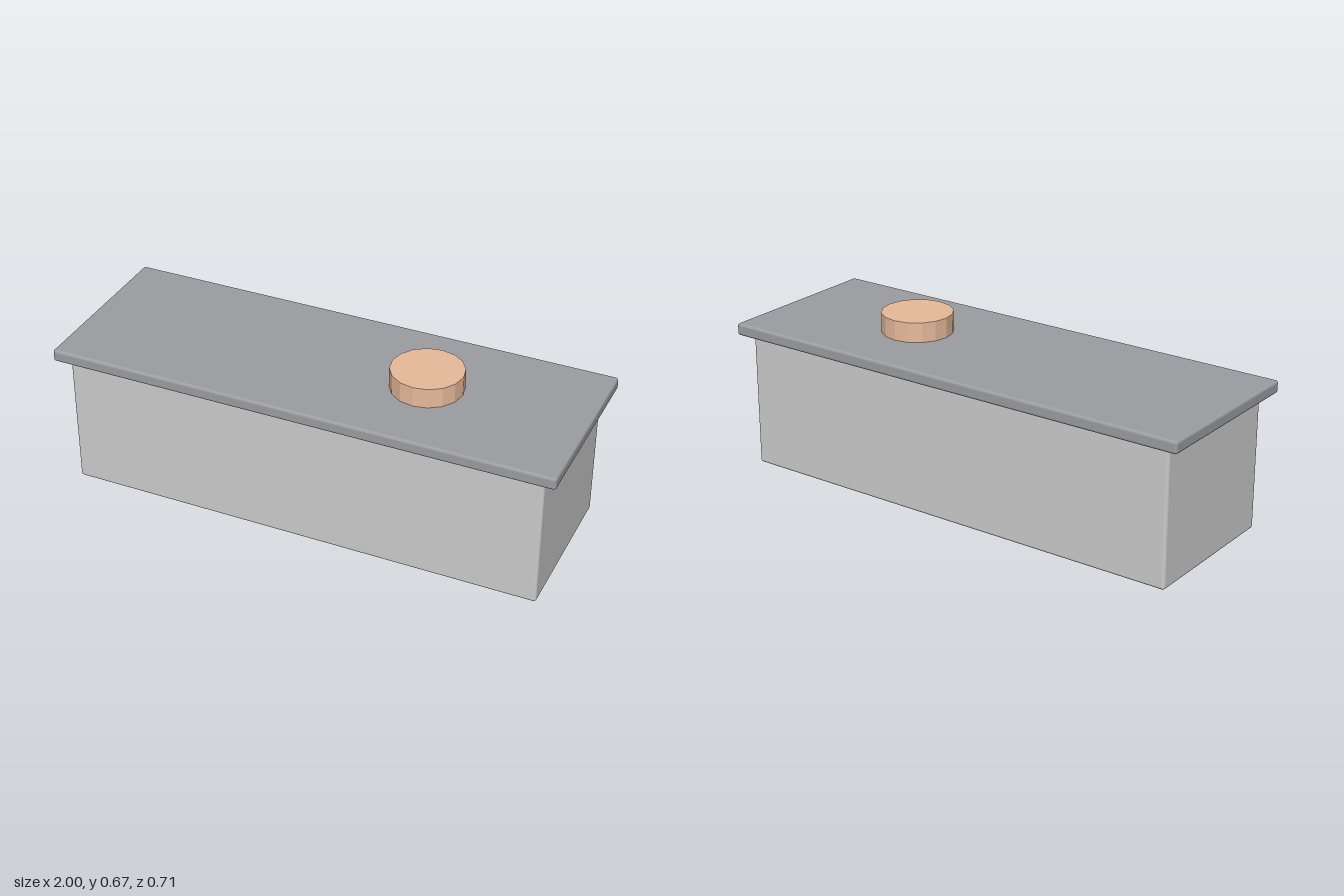
import * as THREE from 'three';
import { RoundedBoxGeometry } from 'three/addons/geometries/RoundedBoxGeometry.js';

function addPart(group, name, geometry, color, x, y, flatShading = false) {
  const mesh = new THREE.Mesh(geometry, new THREE.MeshStandardMaterial({ color, flatShading }));
  mesh.name = name;
  mesh.position.set(x, y, 0);
  group.add(mesh);
}

export function createModel() {
  const group = new THREE.Group();
  group.name = 'lidded box';

  // Long box with softly rounded edges
  addPart(group, 'body', new RoundedBoxGeometry(1.896, 0.54, 0.632, 3, 0.012), 0xcccccc, 0, 0.27);

  // Overhanging slab lid
  addPart(group, 'lid', new RoundedBoxGeometry(2, 0.049, 0.708, 3, 0.011), 0x9c9da1, 0, 0.565);

  // Faceted round knob, offset towards the left end
  addPart(group, 'knob', new THREE.CylinderGeometry(0.14, 0.14, 0.082, 16), 0xe8ba9a, 0.38, 0.627, true);

  return group;
}
